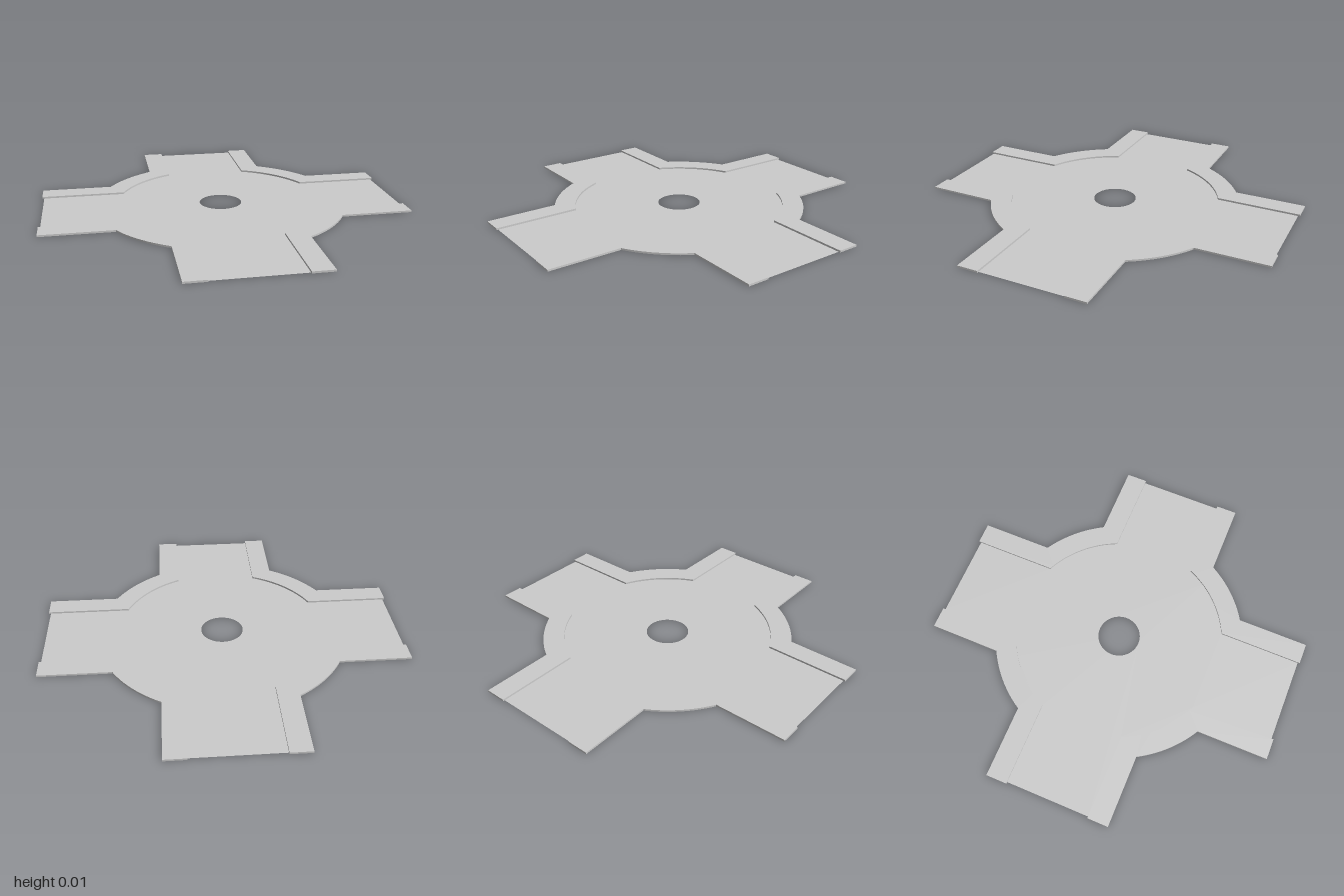
import * as THREE from 'three';

const HEIGHT = 0.01;      // kerb height
const ROAD = 0.234;       // half width of the carriageway
const OUTER = 0.35;       // half width including the kerbs
const R_IN = 0.584, R_OUT = 0.699;
const ROAD_END = 0.99, KERB_END = 1;
const STEPS = 16;

// Edge of one quadrant: along the +x arm, round the arc, out along the +y arm
function quadrantEdge(half, radius, end) {
  const a0 = Math.asin(half / radius), a1 = Math.PI / 2 - a0;
  const pts = [new THREE.Vector2(end, half)];
  for (let i = 0; i <= STEPS; i++) {
    const a = a0 + (a1 - a0) * i / STEPS;
    pts.push(new THREE.Vector2(radius * Math.cos(a), radius * Math.sin(a)));
  }
  pts.push(new THREE.Vector2(half, end));
  return pts;
}

export function createModel() {
  const group = new THREE.Group();
  group.name = 'roadJunction';
  const material = new THREE.MeshStandardMaterial({ color: 0xcccccc, side: THREE.DoubleSide });

  // Flat cross-shaped road with the round central opening
  const outline = [];
  const edge = quadrantEdge(ROAD, R_IN, ROAD_END);
  for (let q = 0; q < 4; q++) {
    for (const p of edge) {
      outline.push(p.clone().rotateAround(new THREE.Vector2(), q * Math.PI / 2));
    }
  }
  const roadShape = new THREE.Shape(outline);
  roadShape.holes.push(new THREE.Path().absarc(0, 0, 0.118, 0, Math.PI * 2, true));
  const roadGeometry = new THREE.ShapeGeometry(roadShape, 32);
  roadGeometry.rotateX(-Math.PI / 2);
  const road = new THREE.Mesh(roadGeometry, material);
  road.name = 'roadSurface';
  group.add(road);

  // Raised kerb, one per quadrant
  const kerbShape = new THREE.Shape([
    ...quadrantEdge(OUTER, R_OUT, KERB_END),
    ...quadrantEdge(ROAD, R_IN, KERB_END).reverse(),
  ]);
  const kerbGeometry = new THREE.ExtrudeGeometry(kerbShape, { depth: HEIGHT, bevelEnabled: false });
  kerbGeometry.rotateX(-Math.PI / 2);
  for (let q = 0; q < 4; q++) {
    const kerb = new THREE.Mesh(kerbGeometry, material);
    kerb.name = `kerb${q + 1}`;
    kerb.rotation.y = q * Math.PI / 2;
    group.add(kerb);
  }
  return group;
}
